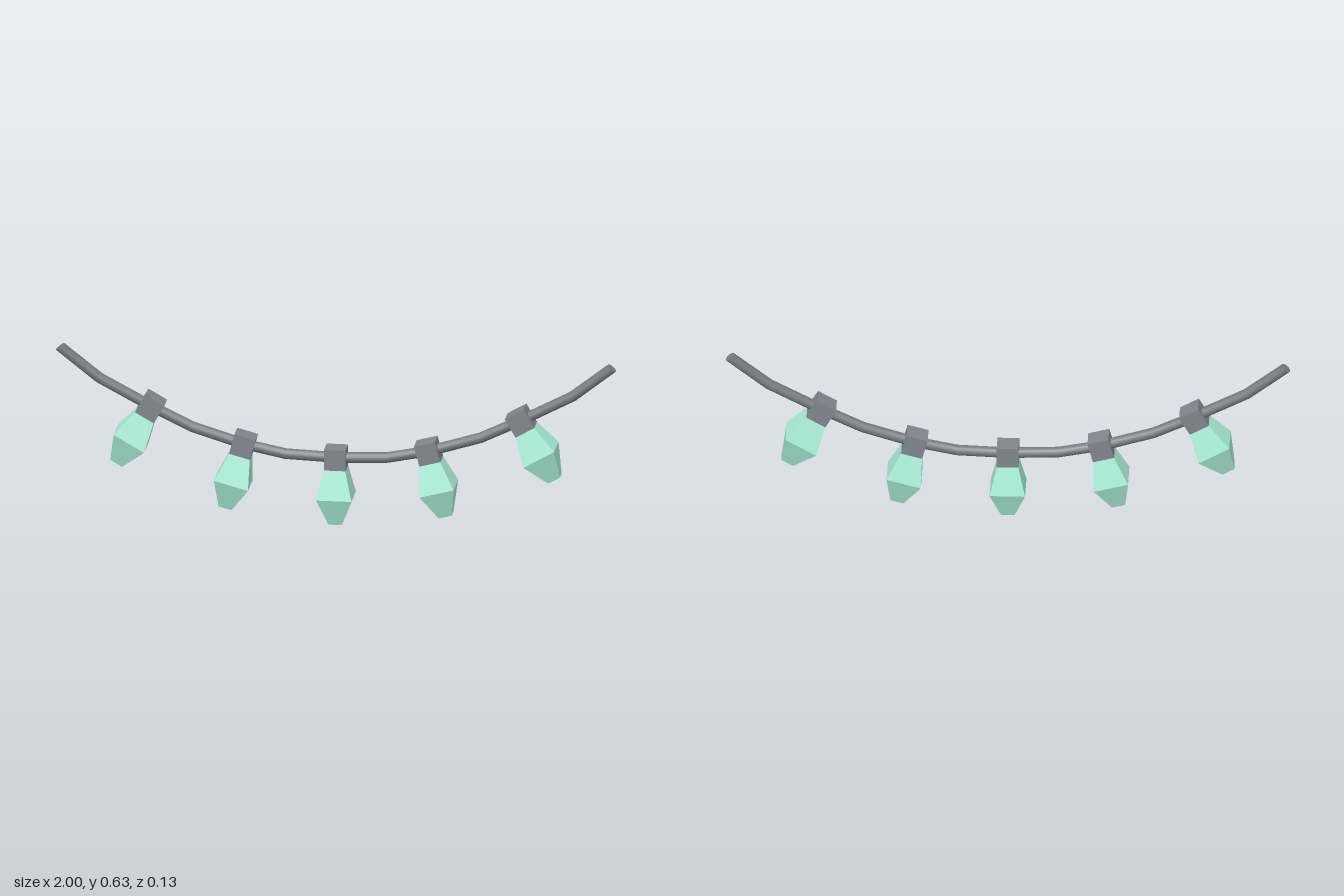
import * as THREE from 'three';

// Half of the sagging wire, from the middle outwards: x, y, tilt in degrees
const SAG = [
  [0, 0.243, 0], [0.18, 0.25, 7.5], [0.33, 0.28, 15], [0.515, 0.337, 22.5],
  [0.66, 0.407, 30], [0.845, 0.505, 38], [0.985, 0.6155, 51],
];
const WIRE_RADIUS = 0.019;

// All stations from left end to right end
const STATIONS = [
  ...SAG.slice(1).reverse().map(([x, y, a]) => [-x, y, -a]),
  ...SAG,
].map(([x, y, a]) => ({ x, y, tilt: THREE.MathUtils.degToRad(a) }));

// Curve that steps exactly through the stations
class WireCurve extends THREE.Curve {
  station(t) {
    return STATIONS[Math.round(t * (STATIONS.length - 1))];
  }
  getPoint(t, target = new THREE.Vector3()) {
    const s = this.station(t);
    return target.set(s.x, s.y, 0);
  }
  getPointAt(t, target) {
    return this.getPoint(t, target);
  }
  getTangentAt(t, target = new THREE.Vector3()) {
    const s = this.station(t);
    return target.set(Math.cos(s.tilt), Math.sin(s.tilt), 0);
  }
}

// Square bulb: narrow neck, wide shoulder, small flat tip
function bulbGeometry() {
  const profile = [[0, -0.243], [0.024, -0.243], [0.063, -0.143], [0.038, -0.038], [0, -0.038]]
    .map(([half, y]) => new THREE.Vector2(half * Math.SQRT2, y));
  const geometry = new THREE.LatheGeometry(profile, 4, Math.PI / 4).toNonIndexed();
  geometry.computeVertexNormals();
  return geometry;
}

export function createModel() {
  const model = new THREE.Group();
  model.name = 'lightString';

  const wireMaterial = new THREE.MeshStandardMaterial({ color: 0x787b83 });
  const socketMaterial = new THREE.MeshStandardMaterial({ color: 0x82858e });
  const bulbMaterial = new THREE.MeshStandardMaterial({ color: 0xaaf0d8, flatShading: true });

  const add = (parent, name, geometry, material) => {
    const mesh = new THREE.Mesh(geometry, material);
    mesh.name = name;
    parent.add(mesh);
    return mesh;
  };

  // Wire with closed ends
  add(model, 'wire',
    new THREE.TubeGeometry(new WireCurve(), STATIONS.length - 1, WIRE_RADIUS, 16), wireMaterial);
  for (const side of [-1, 1]) {
    const end = side < 0 ? STATIONS[0] : STATIONS[STATIONS.length - 1];
    const cap = add(model, side < 0 ? 'rightWireEnd' : 'leftWireEnd',
      new THREE.CircleGeometry(WIRE_RADIUS, 16), wireMaterial);
    cap.position.set(end.x, end.y, 0);
    cap.lookAt(end.x + side * Math.cos(end.tilt), end.y + side * Math.sin(end.tilt), 0);
  }

  // Lamps sit on every second station, square to the wire
  const socket = new THREE.BoxGeometry(0.077, 0.076, 0.077);
  const bulb = bulbGeometry();
  for (let i = 2; i <= STATIONS.length - 3; i += 2) {
    const { x, y, tilt } = STATIONS[i];
    const lamp = new THREE.Group();
    lamp.name = `lamp${i / 2}`;
    lamp.position.set(x, y, 0);
    lamp.rotation.z = tilt;
    add(lamp, 'socket', socket, socketMaterial);
    add(lamp, 'bulb', bulb, bulbMaterial);
    model.add(lamp);
  }
  return model;
}
